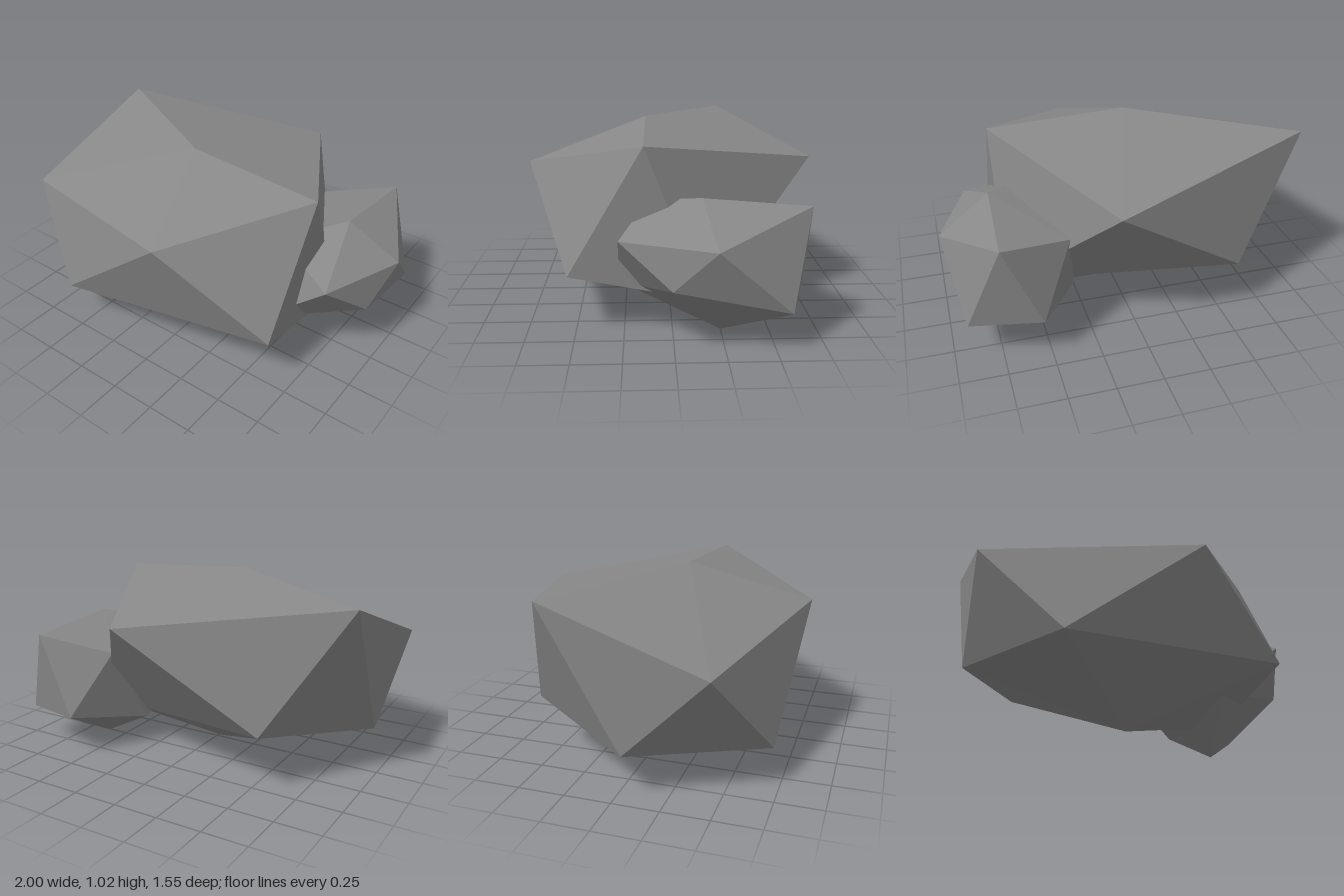
import * as THREE from 'three';

// A rock is an irregular twenty-sided solid: top point, two staggered rings of five, bottom point.
function rockGeometry(top, upper, lower, bottom) {
  const pos = [];
  const tri = (...corners) => corners.forEach((c) => pos.push(...c));
  for (let i = 0; i < 5; i++) {
    const j = (i + 1) % 5;
    tri(top, upper[i], upper[j]);
    tri(upper[i], lower[i], upper[j]);
    tri(lower[i], lower[j], upper[j]);
    tri(bottom, lower[j], lower[i]);
  }
  const geometry = new THREE.BufferGeometry();
  geometry.setAttribute('position', new THREE.Float32BufferAttribute(pos, 3));
  geometry.computeVertexNormals();
  return geometry;
}

export function createModel() {
  const group = new THREE.Group();
  group.name = 'rocks';
  const stone = new THREE.MeshStandardMaterial({ color: 0x888888, flatShading: true });
  stone.name = 'grey stone';

  const addRock = (name, ...rings) => {
    const mesh = new THREE.Mesh(rockGeometry(...rings), stone);
    mesh.name = name;
    group.add(mesh);
  };

  // Broad boulder
  addRock('largeRock',
    [-0.11, 1.02, 0.13],
    [[-0.98, 0.975, -0.37], [-1, 0.685, 0.49], [0.12, 0.8, 0.775], [0.67, 0.975, 0.145], [0.16, 0.825, -0.78]],
    [[-0.96, 0.235, 0.04], [-0.6, 0.215, 0.715], [0.66, 0.31, 0.535], [0.65, 0.17, -0.17], [-0.57, 0.32, -0.58]],
    [-0.03, 0.01, 0]);

  // Smaller stone leaning into its side
  addRock('smallRock',
    [0.72, 0.73, -0.14],
    [[0.82, 0.545, 0.27], [1, 0.54, -0.2], [0.74, 0.69, -0.68], [0.36, 0.6, -0.52], [0.45, 0.66, 0.12]],
    [[0.94, 0.33, 0.01], [0.92, 0.205, -0.57], [0.54, 0.24, -0.69], [0.3, 0.17, -0.3], [0.43, 0.2, 0.28]],
    [0.62, 0, -0.25]);

  return group;
}
